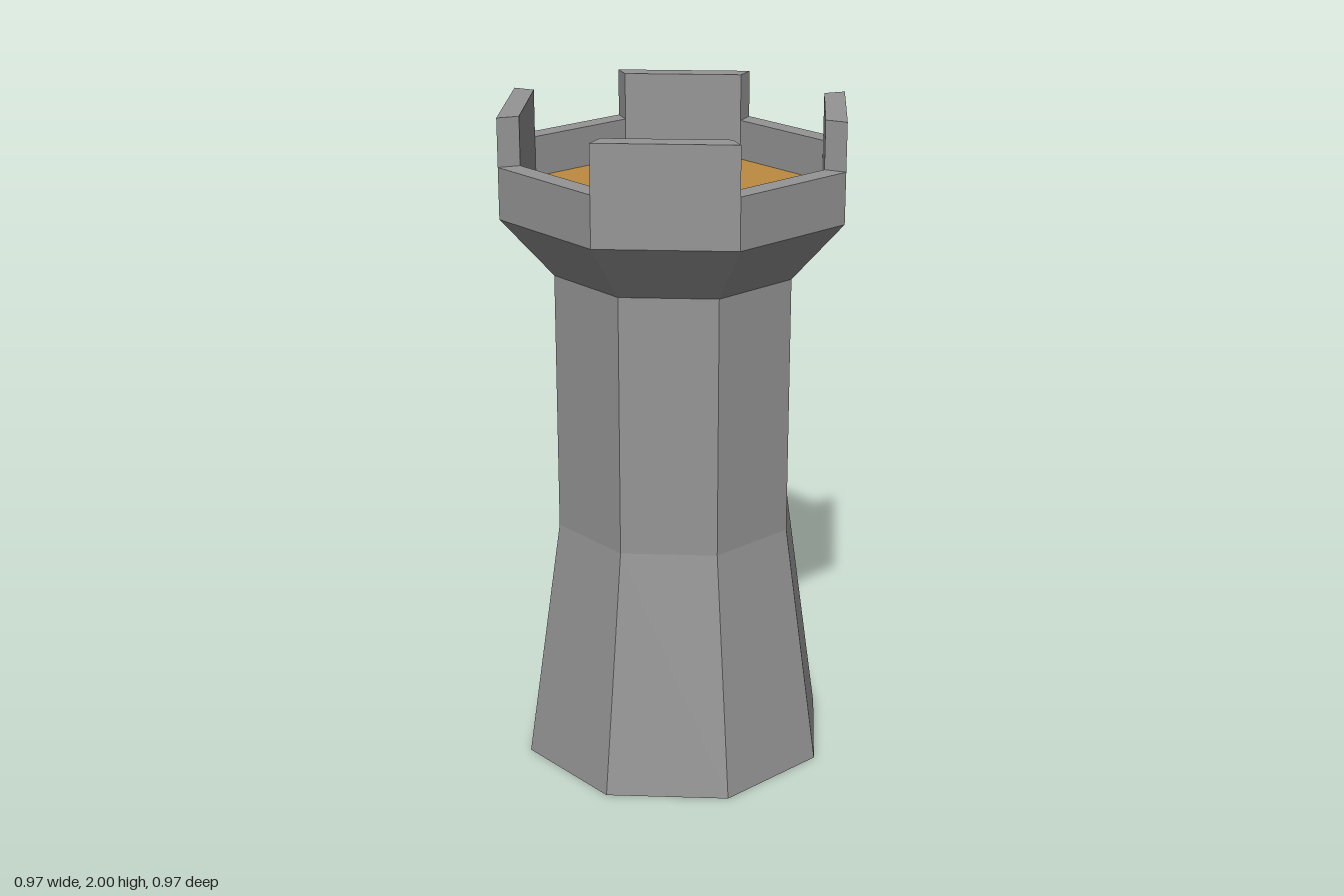
import * as THREE from 'three';

const SIDES = 8;
const STEP = (Math.PI * 2) / SIDES;
const START = STEP / 2; // a flat side faces the front

// corner radius of an octagon from the distance to its flat side
const corner = (flat) => flat / Math.cos(STEP / 2);

function profile(pairs) {
  return pairs.map(([flat, y]) => new THREE.Vector2(corner(flat), y));
}

export function createModel() {
  const stone = new THREE.MeshStandardMaterial({ color: 0x959595, flatShading: true, side: THREE.DoubleSide });
  stone.name = 'stone';
  const planks = new THREE.MeshStandardMaterial({ color: 0xbd8b41, flatShading: true, side: THREE.DoubleSide });
  planks.name = 'wood floor';

  const tower = new THREE.Group();
  tower.name = 'tower';

  function add(parent, name, geometry, material) {
    const mesh = new THREE.Mesh(geometry, material);
    mesh.name = name;
    parent.add(mesh);
    return mesh;
  }

  // hollow shaft, open at the bottom: flared foot, straight body, corbel
  const shaft = profile([[0.44, 0], [0.34, 0.75], [0.34, 1.53], [0.485, 1.71]]);
  add(tower, 'shaft', new THREE.LatheGeometry(shaft, SIDES, START), stone);

  // walkway floor inside the parapet
  const floorY = 1.74, inner = 0.425, outer = 0.485;
  const floor = new THREE.CircleGeometry(corner(inner), SIDES, START);
  floor.rotateX(-Math.PI / 2).translate(0, floorY, 0);
  add(tower, 'floor', floor, planks);

  // parapet: low walls on the straight sides, tall merlons on the diagonals
  const low = 1.86, high = 2;
  for (let i = 0; i < SIDES; i++) {
    const phi = START + i * STEP;
    const tall = i % 2 === 0;
    const top = tall ? high : low;
    const section = new THREE.Group();
    section.name = tall ? 'merlon' : 'lowWall';
    tower.add(section);

    const wall = profile([[outer, 1.71], [outer, top], [inner, top], [inner, floorY]]);
    add(section, 'wall', new THREE.LatheGeometry(wall, 1, phi, STEP), stone);

    // radial end faces of the merlon above the low walls
    if (tall) {
      for (const angle of [phi, phi + STEP]) {
        const end = new THREE.PlaneGeometry(corner(outer) - corner(inner), high - low);
        end.translate((corner(outer) + corner(inner)) / 2, (high + low) / 2, 0);
        end.rotateY(angle - Math.PI / 2);
        add(section, 'merlonEnd', end, stone);
      }
    }
  }

  return tower;
}
